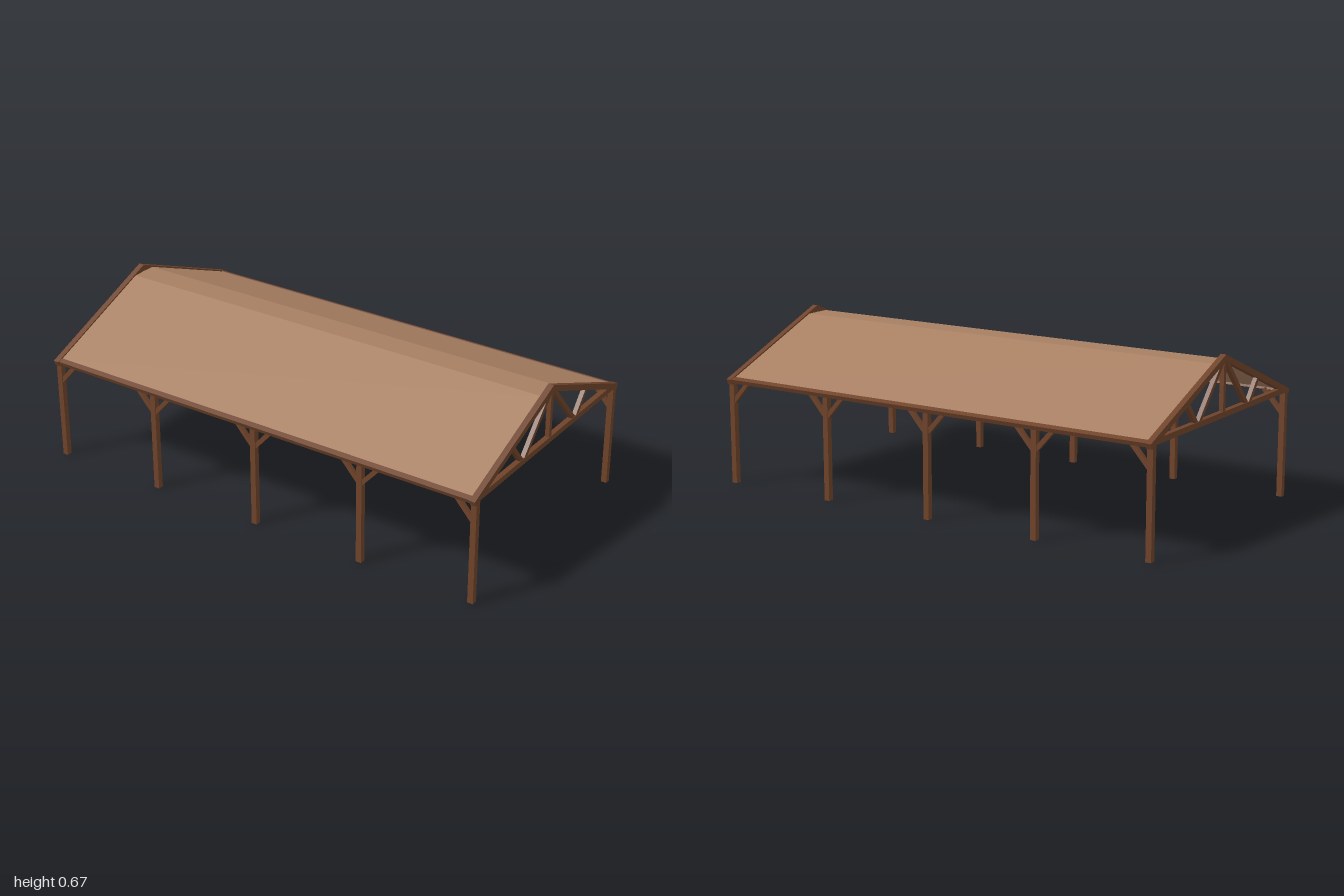
import * as THREE from 'three';

const wood = new THREE.MeshStandardMaterial({ color: 0x6f432a });
wood.name = 'stained timber';
const sheet = new THREE.MeshStandardMaterial({ color: 0xa87f62 });
sheet.name = 'tan roof';

const POST_Z = 0.536, END_X = 0.988, BAY = END_X / 2;

// Straight timber between two points; w is the horizontal width, h the depth
function timber(name, from, to, w, h) {
  const a = new THREE.Vector3(...from), b = new THREE.Vector3(...to);
  const mesh = new THREE.Mesh(new THREE.BoxGeometry(w, h, a.distanceTo(b)), wood);
  mesh.name = name;
  mesh.position.copy(a).add(b).multiplyScalar(0.5);
  mesh.lookAt(b);
  return mesh;
}

// Extrude a mirrored (z, y) profile along x; points run from the ridge outward
function gable(name, top, bottom, length, material) {
  const mirror = (pts) => pts.filter(([z]) => z > 0).map(([z, y]) => [-z, y]);
  const outline = [...mirror(top).reverse(), ...top, ...[...bottom].reverse(), ...mirror(bottom)];
  const shape = new THREE.Shape(outline.map(([z, y]) => new THREE.Vector2(z, y)));
  const geo = new THREE.ExtrudeGeometry(shape, { depth: length, bevelEnabled: false });
  geo.translate(0, 0, -length / 2).rotateY(-Math.PI / 2);
  const mesh = new THREE.Mesh(geo, material);
  mesh.name = name;
  return mesh;
}

// Gable truss with rafters, tie beam, king post and webs
function truss(x) {
  const g = new THREE.Group();
  g.name = 'gableTruss';
  const rafters = gable('rafters', [[0, 0.674], [0.564, 0.443]], [[0, 0.648], [0.555, 0.421]], 0.024, wood);
  rafters.position.x = x;
  g.add(rafters);
  g.add(timber('tieBeam', [x, 0.443, -0.53], [x, 0.443, 0.53], 0.022, 0.023));
  g.add(timber('kingPost', [x, 0.45, 0], [x, 0.655, 0], 0.018, 0.018));
  for (const s of [-1, 1]) {
    g.add(timber('longWeb', [x, 0.445, s * 0.196], [x, 0.65, s * 0.012], 0.018, 0.018));
    g.add(timber('shortWeb', [x, 0.445, s * 0.211], [x, 0.542, s * 0.291], 0.018, 0.018));
  }
  return g;
}

export function createModel() {
  const model = new THREE.Group();
  model.name = 'openPavilion';

  // Thin roof with a narrow flat strip along the ridge
  model.add(gable('roof', [[0.055, 0.645], [0.543, 0.446]], [[0.054, 0.64], [0.541, 0.441]], 1.97, sheet));

  for (const x of [-END_X, END_X]) model.add(truss(x));

  for (const s of [-1, 1]) {
    // Eave beam tilted to the roof pitch
    const eave = new THREE.Mesh(new THREE.BoxGeometry(1.976, 0.018, 0.022), wood);
    eave.name = 'eaveBeam';
    eave.position.set(0, 0.4385, s * 0.546);
    eave.rotation.x = s * 0.388;
    model.add(eave);

    // Posts with knee braces toward each neighbouring bay
    for (let i = -2; i <= 2; i++) {
      const x = i * BAY, z = s * POST_Z;
      model.add(timber('post', [x, 0, z], [x, 0.437, z], 0.024, 0.024));
      for (const d of [-1, 1]) {
        if (Math.abs(i + d) > 2) continue;
        model.add(timber('kneeBrace', [x + d * 0.004, 0.345, z], [x + d * 0.086, 0.437, z], 0.016, 0.018));
      }
    }
  }
  return model;
}
